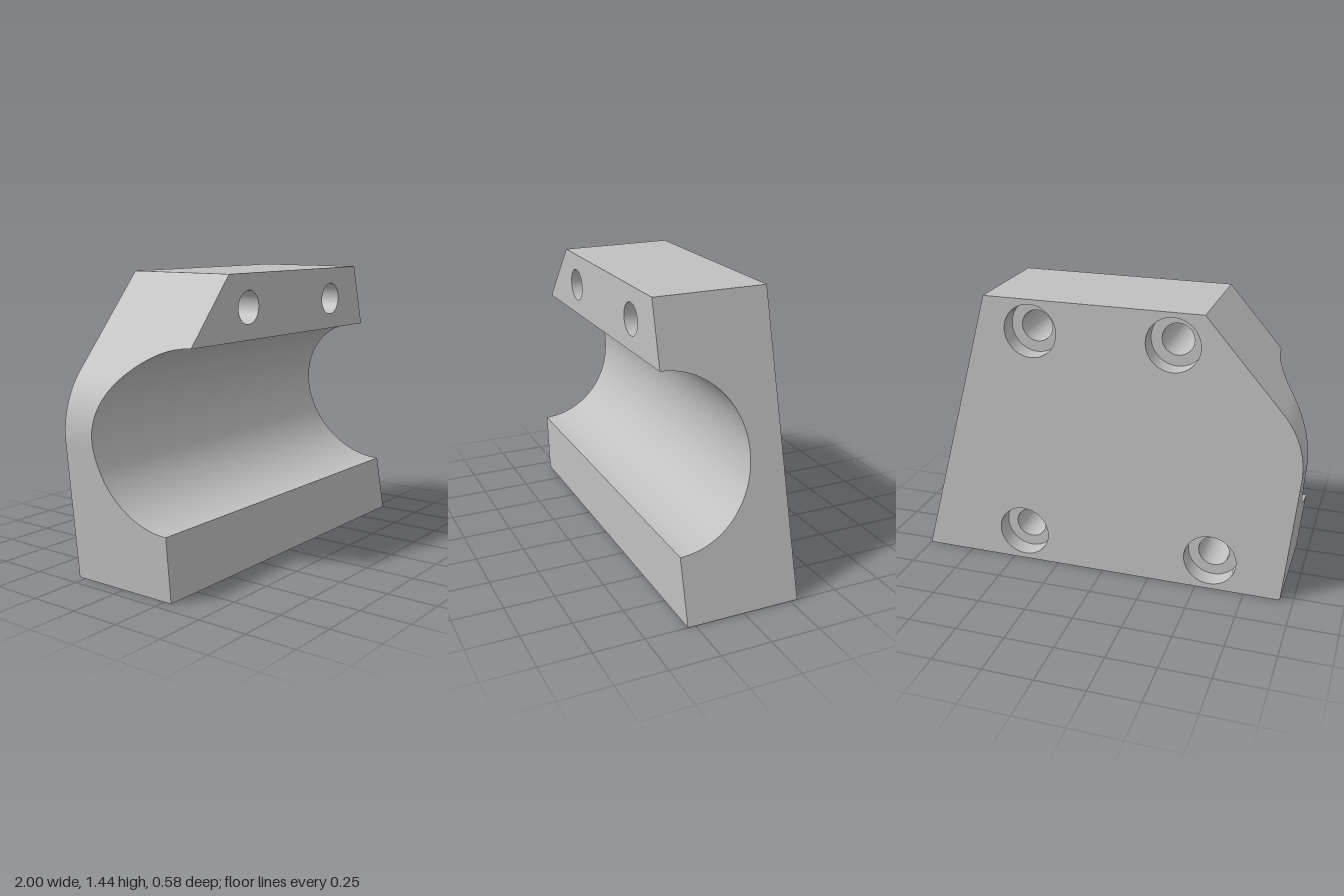
import * as THREE from 'three';
import { toCreasedNormals } from 'three/addons/utils/BufferGeometryUtils.js';

const H = 1.44, Z = 0.288;               // height and half depth
const BORE_Y = 0.72, BORE_R = 0.405;     // half-round channel, centred on the front plane
const HOLE_R = 0.08, SINK_R = 0.135, SINK_DEPTH = 0.1;
const HOLES = [[-0.355, 1.28], [0.365, 1.28], [-0.57, 0.163], [0.437, 0.163]];

// Left edge, bottom to top, with a rounded shoulder
const leftEdge = [[-0.935, 0]];
for (let i = 0; i <= 16; i++) {
  const a = THREE.MathUtils.degToRad(185.3 - 46.5 * i / 16);
  leftEdge.push([-0.559 + 0.44 * Math.cos(a), 0.709 + 0.44 * Math.sin(a)]);
}
leftEdge.push([-0.505, H]);

function xLeft(y) {
  let i = 1;
  while (i < leftEdge.length - 1 && leftEdge[i][1] < y) i++;
  const [x0, y0] = leftEdge[i - 1], [x1, y1] = leftEdge[i];
  return x0 + (x1 - x0) * (y - y0) / (y1 - y0);
}
const xRight = (y) => 1 - 0.395 * y / H;
const zFront = (y) => Z - Math.sqrt(Math.max(0, BORE_R ** 2 - (y - BORE_Y) ** 2));

// Surface spanned by rows of point pairs
function strip(rows) {
  const index = [];
  for (let i = 0; i < rows.length - 1; i++) {
    const a = 2 * i;
    index.push(a, a + 1, a + 3, a, a + 3, a + 2);
  }
  const g = new THREE.BufferGeometry();
  g.setAttribute('position', new THREE.Float32BufferAttribute(rows.flat(2), 3));
  g.setIndex(index);
  g.computeVertexNormals();
  return g;
}

// Flat plate with round holes; side = -1 mirrors it so it can face backwards
function plate(points, holes, radius, side = 1) {
  const shape = new THREE.Shape(points.map(([x, y]) => new THREE.Vector2(side * x, y)));
  for (const [x, y] of holes) {
    shape.holes.push(new THREE.Path().absarc(side * x, y, radius, 0, Math.PI * 2, true));
  }
  const g = new THREE.ShapeGeometry(shape, 24);
  if (side < 0) g.rotateY(Math.PI);
  return g.translate(0, 0, side * Z);
}

export function createModel() {
  const group = new THREE.Group();
  const grey = new THREE.MeshStandardMaterial({ color: 0xc0c0c0 });
  grey.name = 'grey';
  const add = (name, geometry) => {
    const mesh = new THREE.Mesh(geometry, grey);
    mesh.name = name;
    group.add(mesh);
    return mesh;
  };

  // Heights shared by the channel and both ends
  const low = BORE_Y - BORE_R, high = BORE_Y + BORE_R;
  const boreLevels = [];
  for (let i = 0; i <= 64; i++) boreLevels.push(BORE_Y - BORE_R * Math.cos(Math.PI * i / 64));
  const levels = [...boreLevels, ...leftEdge.map((p) => p[1])].sort((a, b) => a - b)
    .filter((y, i, all) => i === 0 || y - all[i - 1] > 1e-6);
  const inBore = levels.filter((y) => y > low - 1e-6 && y < high + 1e-6);
  const depth = (y) => (y > low && y < high ? zFront(y) : Z);

  add('channel', strip(inBore.map((y) => [[xLeft(y), y, depth(y)], [xRight(y), y, depth(y)]])));
  add('roundedEnd', strip(levels.map((y) => [[xLeft(y), y, -Z], [xLeft(y), y, depth(y)]])));
  add('slantedEnd', strip(levels.map((y) => [[xRight(y), y, depth(y)], [xRight(y), y, -Z]])));
  add('topFace', strip([xLeft(H), xRight(H)].map((x) => [[x, H, -Z], [x, H, Z]])));
  add('bottomFace', strip([xLeft(0), xRight(0)].map((x) => [[x, 0, Z], [x, 0, -Z]])));

  // Front flanges above and below the channel, and the back
  const flange = (y0, y1) => [[xLeft(y0), y0], [xRight(y0), y0], [xRight(y1), y1], [xLeft(y1), y1]];
  add('upperFlange', plate(flange(high, H), HOLES.slice(0, 2), HOLE_R));
  add('lowerFlange', plate(flange(0, low), HOLES.slice(2), HOLE_R));
  add('backFace', plate([[1, 0], [xRight(H), H], ...leftEdge.slice().reverse()], HOLES, SINK_R, -1));

  // Bolt holes, counterbored from the back
  const profile = [[HOLE_R, Z], [HOLE_R, SINK_DEPTH - Z], [SINK_R, SINK_DEPTH - Z], [SINK_R, -Z]]
    .map(([r, y]) => new THREE.Vector2(r, y));
  const bolt = toCreasedNormals(new THREE.LatheGeometry(profile, 48).rotateX(Math.PI / 2), 0.6);
  for (const [x, y] of HOLES) add('boltHole', bolt).position.set(x, y, 0);

  return group;
}
